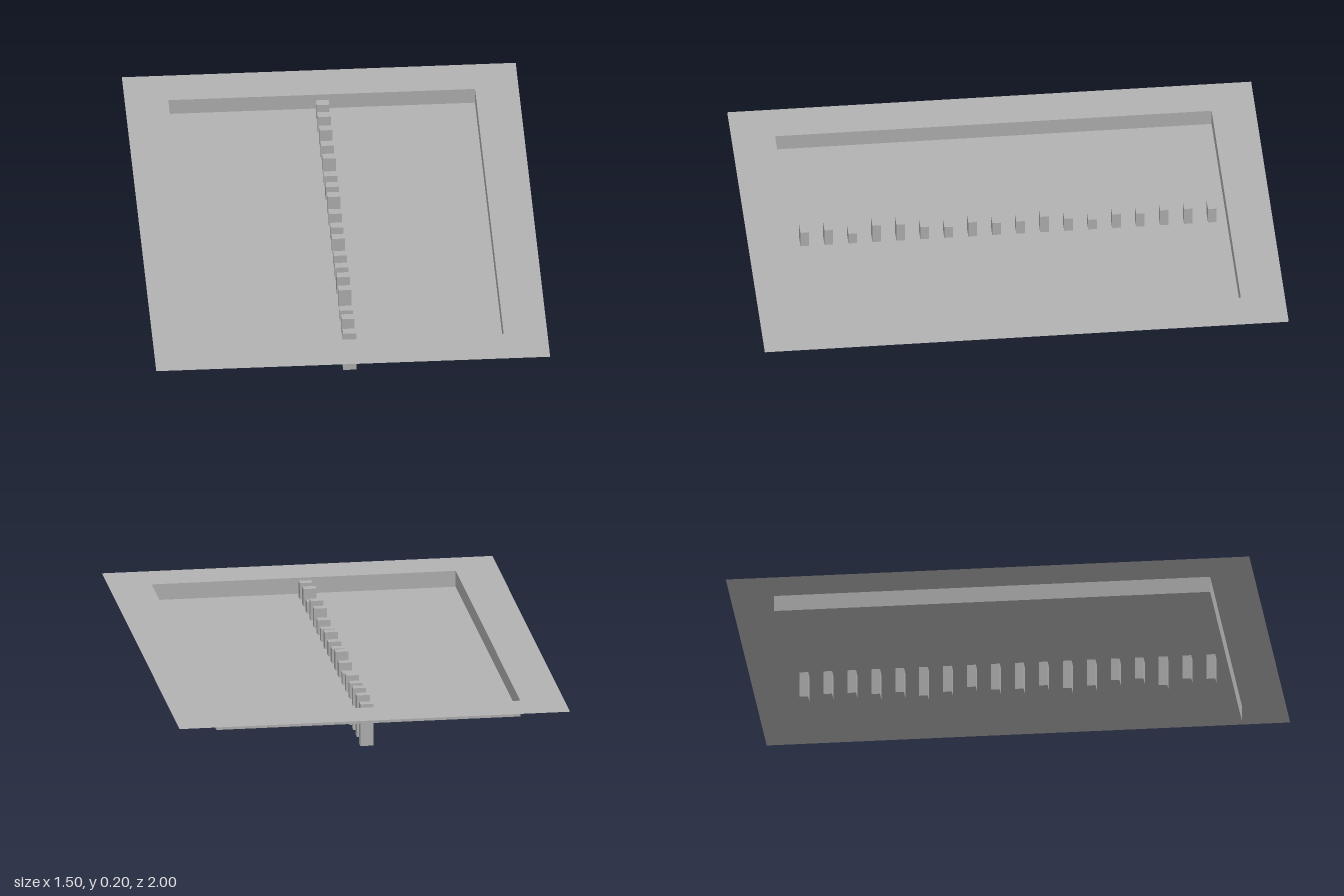
import * as THREE from 'three';

export function createModel() {
  const model = new THREE.Group();
  const grey = new THREE.MeshStandardMaterial({ color: 0xb2b2b2, side: THREE.DoubleSide });
  grey.name = 'plain grey';

  const halfW = 0.584, halfL = 0.833; // recess half width and half length
  const rimY = 0.183, floorY = 0.12;

  const add = (name, geometry, x, y, z) => {
    const mesh = new THREE.Mesh(geometry, grey);
    mesh.name = name;
    mesh.position.set(x, y, z);
    model.add(mesh);
    return mesh;
  };

  // Flat rim with a rectangular opening
  const rect = (path, w, l) =>
    path.moveTo(-w, -l).lineTo(w, -l).lineTo(w, l).lineTo(-w, l).closePath();
  const rimShape = rect(new THREE.Shape(), 0.75, 1);
  rimShape.holes.push(rect(new THREE.Path(), halfW, halfL));
  add('rim', new THREE.ShapeGeometry(rimShape).rotateX(-Math.PI / 2), 0, rimY, 0);

  // Sunken floor
  add('floor', new THREE.PlaneGeometry(2 * halfW, 2 * halfL).rotateX(-Math.PI / 2), 0, floorY, 0);

  // Thin walls joining rim and floor
  const wallH = rimY - floorY, wallY = (rimY + floorY) / 2;
  for (const s of [1, -1]) {
    add(s > 0 ? 'frontWall' : 'backWall', new THREE.PlaneGeometry(2 * halfW, wallH), 0, wallY, s * halfL)
      .rotation.y = s > 0 ? 0 : Math.PI;
    add(s > 0 ? 'leftWall' : 'rightWall', new THREE.PlaneGeometry(2 * halfL, wallH), s * halfW, wallY, 0)
      .rotation.y = s * Math.PI / 2;
  }

  // Row of equal posts set at uneven heights, listed from front to back
  const bottoms = [0.018, 0.023, 0, 0.032, 0.03, 0.012, 0.005, 0.021, 0.011,
    0.012, 0.028, 0.012, 0, 0.019, 0.016, 0.025, 0.025, 0.018];
  const postH = 0.166;
  const post = new THREE.BoxGeometry(0.05, postH, 0.033);
  bottoms.forEach((y, i) => add('post' + (i + 1), post, 0, y + postH / 2, 0.778 - i * 0.0915));

  return model;
}
